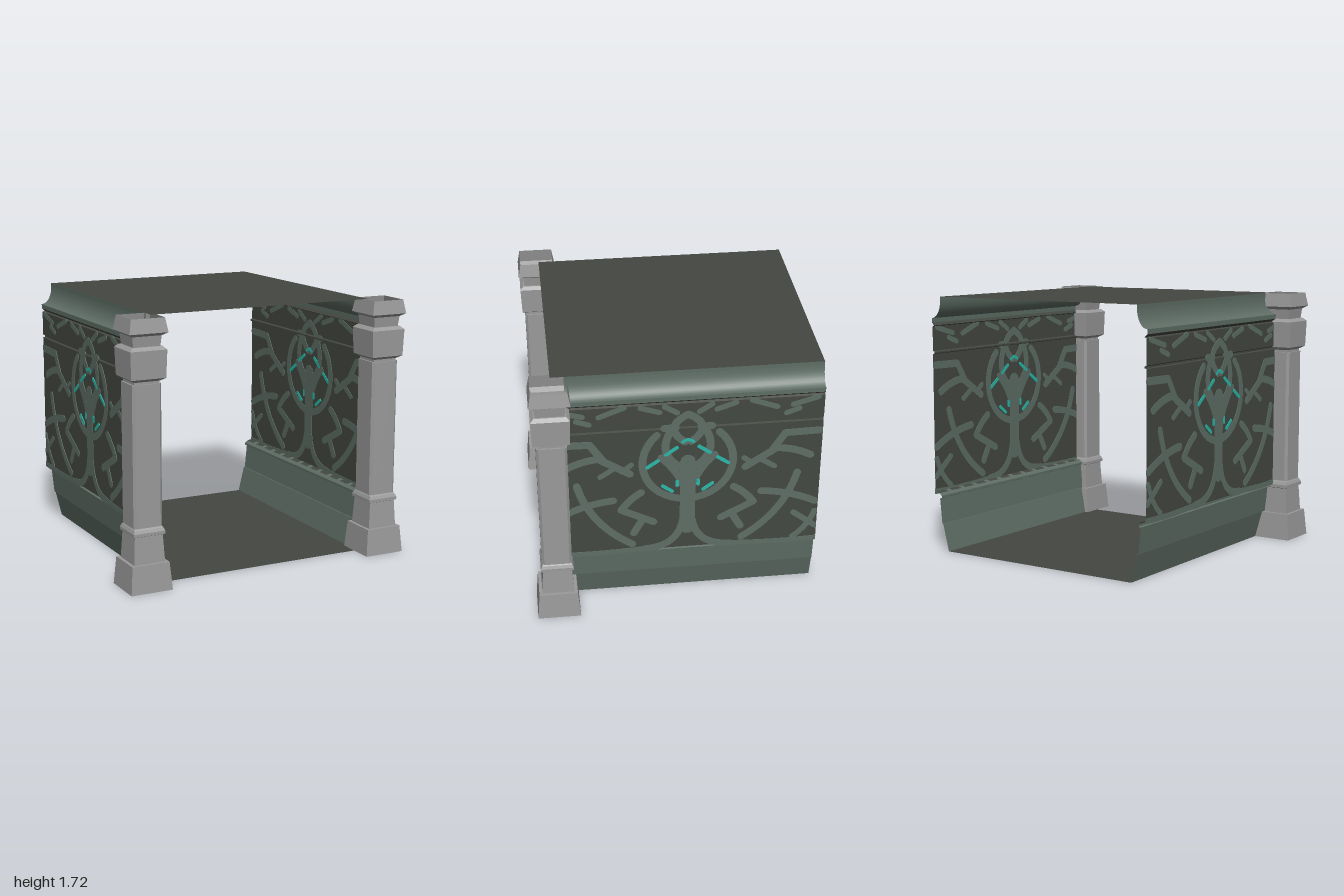
import * as THREE from 'three';
import { mergeGeometries } from 'three/addons/utils/BufferGeometryUtils.js';

const mat = (name, color) => {
  const m = new THREE.MeshStandardMaterial({ color, side: THREE.DoubleSide });
  m.name = name;
  return m;
};

const BACK = -0.93, WALL_FRONT = 0.69, SLAB_FRONT = 0.775, HEIGHT = 1.715, WALL_X = 0.85;
const TREE_Z = -0.07; // symmetry line of the wall ornament

// Joins closed cross-sections into an open flat-sided tube
function loft(rings) {
  const pos = [], n = rings[0].length;
  for (let i = 0; i < rings.length - 1; i++) {
    for (let j = 0; j < n; j++) {
      const a = rings[i][j], b = rings[i][(j + 1) % n];
      const c = rings[i + 1][(j + 1) % n], d = rings[i + 1][j];
      pos.push(...a, ...b, ...c, ...a, ...c, ...d);
    }
  }
  const g = new THREE.BufferGeometry();
  g.setAttribute('position', new THREE.Float32BufferAttribute(pos, 3));
  g.computeVertexNormals();
  return g;
}

// Square ring, optionally with chamfered corners
function ring(h, y, c = 0) {
  const out = [];
  for (let k = 0; k < 4; k++) {
    const t = -k * Math.PI / 2, cs = Math.cos(t), sn = Math.sin(t);
    const pts = c ? [[h - c, h], [h, h - c]] : [[h, h]];
    for (const [x, z] of pts) out.push([x * cs - z * sn, y, x * sn + z * cs]);
  }
  return out;
}

// Sheet swept along z from a profile of [x, y]; smooth or creased
function sheet(profile, smooth = false, z0 = BACK, z1 = WALL_FRONT) {
  const pos = [], idx = [];
  for (const [x, y] of profile) pos.push(x, y, z0, x, y, z1);
  for (let i = 0; i < profile.length - 1; i++) {
    const k = i * 2;
    idx.push(k, k + 2, k + 1, k + 1, k + 2, k + 3);
  }
  let g = new THREE.BufferGeometry();
  g.setAttribute('position', new THREE.Float32BufferAttribute(pos, 3));
  g.setIndex(idx);
  if (!smooth) g = g.toNonIndexed();
  g.computeVertexNormals();
  return g;
}

// Thin round-ended ribbon plate along a curve of (offset from tree line, y)
function stroke(curve, width, depth, mirror = 1) {
  const outline = [], n = 14, r = width / 2;
  const put = (p, a) => outline.push(new THREE.Vector2(
    THREE.MathUtils.clamp(TREE_Z + mirror * (p.x + r * Math.cos(a)), BACK, WALL_FRONT),
    p.y + r * Math.sin(a)));
  for (const way of [1, -1]) {
    for (let i = 0; i <= n; i++) {
      const u = way > 0 ? i / n : 1 - i / n;
      const a = curve.getTangent(u).multiplyScalar(way).angle() + Math.PI / 2;
      put(curve.getPoint(u), a);
      if (i === n) for (let k = 1; k < 5; k++) put(curve.getPoint(u), a - k * Math.PI / 5);
    }
  }
  const g = new THREE.ExtrudeGeometry(new THREE.Shape(outline), { depth, bevelEnabled: false });
  return g.rotateY(-Math.PI / 2).translate(depth / 2, 0, 0);
}

// Curve from one point to another, bowed to the left of its direction
function bow(x0, y0, x1, y1, bend = 0) {
  const a = new THREE.Vector2(x0, y0), b = new THREE.Vector2(x1, y1);
  const d = b.clone().sub(a).normalize();
  const mid = a.clone().lerp(b, 0.5).add(new THREE.Vector2(-d.y, d.x).multiplyScalar(bend));
  return new THREE.QuadraticBezierCurve(a, mid, b);
}
const mirrored = (curves, width, depth) =>
  curves.flatMap((c) => [stroke(c, width, depth), stroke(c, width, depth, -1)]);

function ornament() {
  const boughs = [
    [0.03, 0.62, 0.28, 0.405, -0.14], // root
    [0, 1.435, 0.02, 1.23, 0.16], // crown
    [0.08, 1.34, 0.15, 1.34],
    [0.11, 1.32, 0.03, 1.03, 0.14],
    [0.17, 1.12, 0.03, 0.9, -0.03],
    [0.84, 1.255, 0.62, 1.25], // side branches
    [0.62, 1.25, 0.53, 1.11],
    [0.79, 1.07, 0.56, 1.14, -0.03],
    [0.57, 1.14, 0.37, 1.01],
    [0.71, 0.94, 0.36, 0.45, 0.12], // lower sweeps
    [0.48, 0.81, 0.84, 0.7, 0.04],
    [0.3, 0.86, 0.43, 0.73, 0.02],
    [0.43, 0.73, 0.22, 0.62],
    [0.3, 0.63, 0.35, 0.54],
  ];
  const twigs = [
    [0.24, 0.41, 0.86, 0.4, -0.02],
    [0.42, 1.03, 0.36, 1.08],
    [0.47, 1.06, 0.56, 1],
    [0.07, 1.45, 0.15, 1.5], // upper band
    [0.18, 1.46, 0.3, 1.5],
    [0.4, 1.51, 0.56, 1.45],
    [0.62, 1.4, 0.7, 1.43],
    [0.66, 1.46, 0.82, 1.505],
  ];
  const hoop = new THREE.EllipseCurve(0, 1.08, 0.29, 0.29, -Math.PI / 2, Math.PI * 0.26);
  return mergeGeometries([
    ...mirrored([hoop, ...boughs.map((b) => bow(...b))], 0.05, 0.007),
    ...mirrored(twigs.map((t) => bow(...t)), 0.035, 0.007),
    stroke(bow(0, 0.56, 0, 1.08), 0.1, 0.007), // trunk
    stroke(bow(0.7, 0.62, 0.85, 0.5), 0.04, 0.007, -1), // rear corner
    stroke(bow(0.84, 0.62, 0.7, 0.42, 0.04), 0.04, 0.007, -1),
  ]);
}

function inlay() {
  const chips = [[0.26, 1.05, 0.19, 1.1], [0.14, 1.14, 0.07, 1.19],
    [0.16, 0.9, 0.1, 0.855], [0.067, 0.93, 0.067, 0.9]];
  return mergeGeometries([
    ...mirrored(chips.map((c) => bow(...c)), 0.024, 0.009),
    stroke(bow(0.035, 1.23, -0.035, 1.23, -0.03), 0.022, 0.009),
  ]);
}

export function createModel() {
  const root = new THREE.Group();
  const stone = mat('grey stone', 0x9a9a9a);
  const dark = mat('dark panel', 0x444841);
  const green = mat('grey green trim', 0x5f6e66);
  const teal = mat('teal inlay', 0x2ab8a8);
  const add = (parent, name, geo, m) => {
    const mesh = new THREE.Mesh(geo, m);
    mesh.name = name;
    parent.add(mesh);
    return mesh;
  };

  // Floor and ceiling slabs
  const slab = (name, halfX, y) => {
    const g = new THREE.PlaneGeometry(halfX * 2, SLAB_FRONT - BACK).rotateX(-Math.PI / 2);
    add(root, name, g, dark).position.set(0, y, (SLAB_FRONT + BACK) / 2);
  };
  slab('floor', 0.74, 0);
  slab('ceiling', 0.78, HEIGHT);

  // Hollow square pillar pieces: [half width, y]
  const footGeo = loft([[0.141, 0], [0.126, 0.18], [0.105, 0.18], [0.095, 0.355], [0.107, 0.36],
    [0.107, 0.38], [0.098, 0.4], [0.09, 0.41]].map(([h, y]) => ring(h, y)));
  const shaftGeo = loft([[0.084, 0.41], [0.097, 0.41], [0.097, 1.31], [0.084, 1.31]]
    .map(([h, y]) => ring(h, y, 0.016)));
  const capitalGeo = loft([[0.084, 1.31], [0.084, 1.325], [0.1, 1.335], [0.116, 1.345], [0.122, 1.52],
    [0.1, 1.54], [0.09, 1.54], [0.097, 1.605], [0.128, 1.625], [0.112, HEIGHT]].map(([h, y]) => ring(h, y)));

  // Cove curve of the cornice
  const cove = [];
  for (let i = 0; i <= 8; i++) {
    const a = (i / 8) * Math.PI / 2;
    cove.push([0.855 - 0.075 * Math.sin(a), 1.69 - 0.12 * Math.cos(a)]);
  }
  const ornamentGeo = ornament(), inlayGeo = inlay();

  for (const s of [1, -1]) {
    const side = s > 0 ? 'left' : 'right';
    const m = (p) => p.map(([x, y]) => [x * s, y]);

    // Pillar
    const pillar = new THREE.Group();
    pillar.name = side + 'Pillar';
    pillar.position.set(0.859 * s, 0, 0.79);
    add(pillar, 'pillarFoot', footGeo, stone);
    add(pillar, 'pillarShaft', shaftGeo, stone);
    add(pillar, 'pillarCapital', capitalGeo, stone);
    root.add(pillar);

    // Wall sheet: skirting, panel with a groove, cornice
    const wall = new THREE.Group();
    wall.name = side + 'Wall';
    root.add(wall);
    add(wall, 'skirting', sheet(m([[0.74, 0], [0.785, 0.183], [0.793, 0.183], [0.81, 0.355],
      [0.795, 0.36], [0.795, 0.375], [0.815, 0.392]])), green);
    add(wall, 'panel', sheet(m([[WALL_X, 0.4], [WALL_X, 1.33], [0.835, 1.335], [0.835, 1.345],
      [WALL_X, 1.352], [WALL_X, 1.515], [0.835, 1.522], [0.855, 1.54]])), dark);
    add(wall, 'corniceLip', sheet(m([[0.855, 1.54], [0.855, 1.57]])), green);
    add(wall, 'corniceCove', sheet(m(cove), true), green);
    add(wall, 'corniceTop', sheet(m([[0.78, 1.69], [0.78, HEIGHT]])), green);

    // Ledge above the skirting with dark dashes
    const count = 12, step = (WALL_FRONT - BACK) / count;
    const dashes = [], gaps = [], ledge = m([[0.815, 0.392], [WALL_X, 0.4]]);
    for (let i = 0; i < count; i++) {
      const z = BACK + i * step;
      dashes.push(sheet(ledge, false, z, z + step * 0.7));
      gaps.push(sheet(ledge, false, z + step * 0.7, z + step));
    }
    add(wall, 'ledgeDashes', mergeGeometries(dashes), dark);
    add(wall, 'ledge', mergeGeometries(gaps), green);

    // Tree ornament, seen from both faces
    add(wall, 'treeOrnament', ornamentGeo, green).position.x = WALL_X * s;
    add(wall, 'tealInlay', inlayGeo, teal).position.x = WALL_X * s;
  }
  return root;
}
